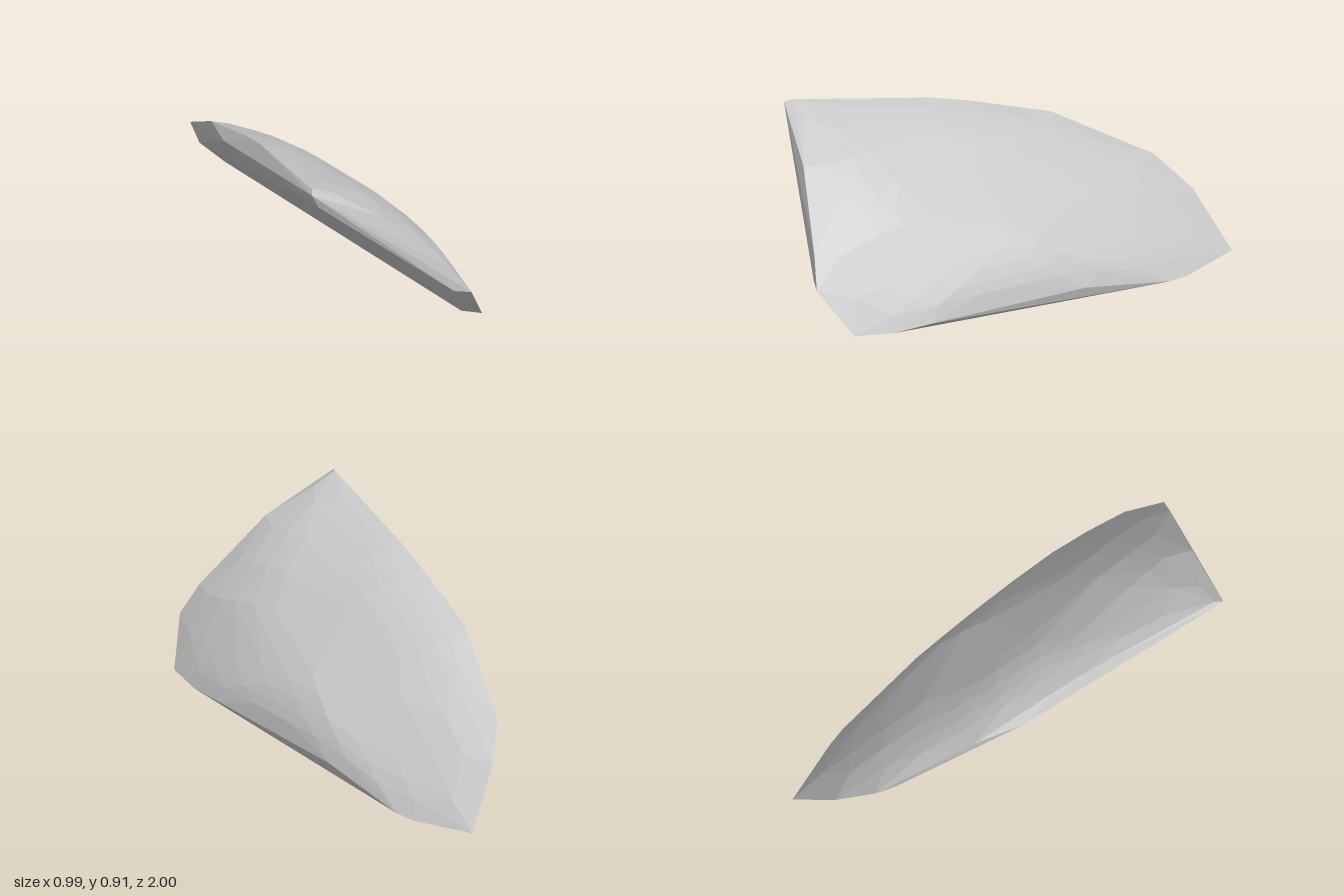
import * as THREE from 'three';
import { ConvexGeometry } from 'three/addons/geometries/ConvexGeometry.js';

const vectors = (list) => list.map((p) => new THREE.Vector3(...p));

export function createModel() {
  const group = new THREE.Group();
  group.name = 'rockShard';
  const stone = new THREE.MeshStandardMaterial({ color: 0xc8c8c8 });
  stone.name = 'grey stone';

  // Sharp rim, running around the shard from the upper front corner
  const rim = vectors([
    [-0.31, 0.907, 0.96], [-0.205, 0.86, 0.93], [0.01, 0.735, 0.97],
    [0.32, 0.445, 0.975], [0.41, 0.315, 0.98], [0.492, 0.12, 0.825],
    [0.465, 0.107, 0.64], [0.42, 0.117, 0.46], [0.16, 0.1, -0.27],
    [-0.015, 0.008, -0.68], [-0.065, 0, -0.76], [-0.255, 0.015, -1],
    [-0.405, 0.26, -0.85], [-0.485, 0.405, -0.69], [-0.495, 0.65, -0.23],
    [-0.43, 0.77, 0.15], [-0.4, 0.815, 0.33],
  ]);

  // Corners of the broken, nearly flat underside
  const underside = vectors([
    [-0.318, 0.895, 1], [-0.285, 0.825, 0.985], [0.33, 0.33, 0.98],
    [0.4, 0.14, 0.82], [-0.21, 0.05, -0.82], [-0.465, 0.35, -0.59],
    [-0.49, 0.67, 0],
  ]);

  // Domed side: shrinking copies of the rim lifted along the shard's axis
  const centre = new THREE.Vector3(-0.05, 0.37, 0.23);
  const axis = new THREE.Vector3(0.594, 0.742, -0.312).normalize();
  const bulge = 0.16;
  const loop = new THREE.CatmullRomCurve3(rim, true, 'centripetal');
  const dome = [centre.clone().addScaledVector(axis, bulge)];
  [0.17, 0.34, 0.5, 0.64, 0.76, 0.86].forEach((s, ring) => {
    const count = 8 + ring * 3;
    for (let i = 0; i < count; i++) {
      const u = (i + (ring % 2) * 0.5) / count;
      const p = loop.getPointAt(u).lerp(centre, 1 - s);
      dome.push(p.addScaledVector(axis, bulge * (1 - s ** 2.4)));
    }
  });

  const rock = new THREE.Mesh(new ConvexGeometry([...rim, ...underside, ...dome]), stone);
  rock.name = 'rock';
  group.add(rock);
  return group;
}
